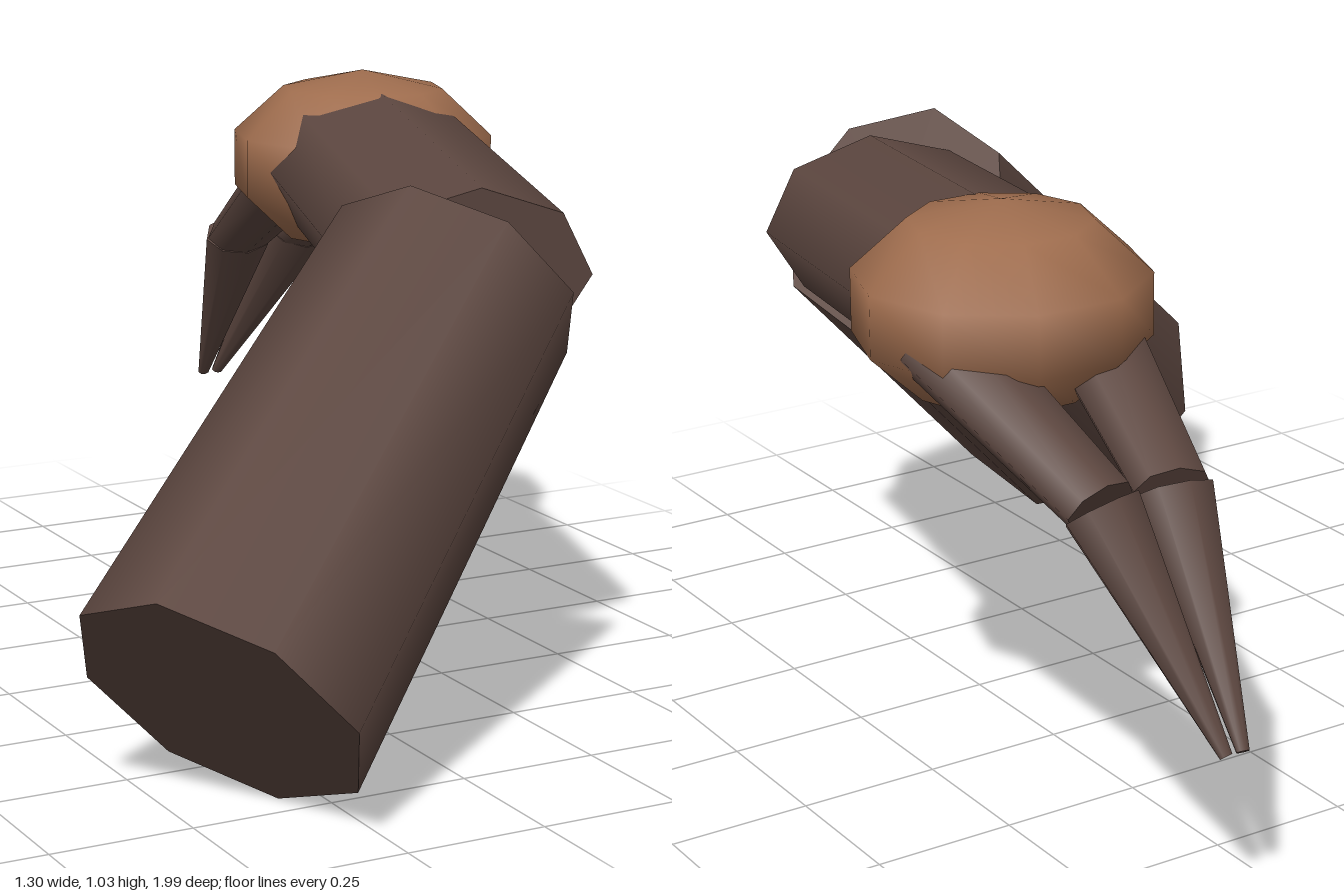
import * as THREE from 'three';

const v = (p) => new THREE.Vector3(...p);

// Tapered eight-sided segment between two points; side is the direction of one
// corner, squash flattens the section at right angles to it.
function segment(name, material, from, to, r0, r1, side = [1, 0, 0], squash = 1) {
  const a = v(from), b = v(to);
  const length = a.distanceTo(b);
  const yAxis = b.clone().sub(a).normalize();
  const xAxis = v(side);
  xAxis.addScaledVector(yAxis, -xAxis.dot(yAxis)).normalize();
  const zAxis = xAxis.clone().cross(yAxis);

  const mesh = new THREE.Mesh(new THREE.CylinderGeometry(r1, r0, length, 8), material);
  mesh.name = name;
  mesh.quaternion.setFromRotationMatrix(new THREE.Matrix4().makeBasis(xAxis, yAxis, zAxis));
  mesh.position.copy(a).add(b).multiplyScalar(0.5);
  mesh.scale.z = squash;
  return mesh;
}

export function createModel() {
  const darkBrown = new THREE.MeshStandardMaterial({ color: 0x5d4740 });
  darkBrown.name = 'dark brown';
  const tan = new THREE.MeshStandardMaterial({ color: 0x9f6d4e });
  tan.name = 'tan brown';

  const model = new THREE.Group();
  model.name = 'clawedLimb';

  // Two arm segments
  model.add(segment('upperArm', darkBrown,
    [-0.462, 0.21, 0.768], [0.165, 0.775, 0.42], 0.262, 0.232, [-0.013, 0.15, 0.217]));
  model.add(segment('forearm', darkBrown,
    [0.197, 0.78, 0.434], [0.39, 0.865, -0.31], 0.212, 0.207, [1, 0, 0], 0.74));

  // Flattened ball of the wrist
  const wrist = new THREE.Mesh(new THREE.SphereGeometry(1, 10, 5), tan);
  wrist.name = 'wristBall';
  wrist.position.set(0.395, 0.86, -0.325);
  wrist.scale.set(0.263, 0.176, 0.263);
  model.add(wrist);

  // Mirrored pair of claws, each with a base and a pointed tip
  for (const s of [1, -1]) {
    const claw = new THREE.Group();
    claw.name = s > 0 ? 'leftClaw' : 'rightClaw';
    claw.add(segment('clawBase', darkBrown,
      [0.405 + s * 0.135, 0.83, -0.38], [0.405 + s * 0.068, 0.652, -0.735],
      0.09, 0.068, [s, 0, 0], 0.67));
    claw.add(segment('clawTip', darkBrown,
      [0.405 + s * 0.068, 0.65, -0.74], [0.393 + s * 0.016, 0.307, -0.988],
      0.072, 0.012, [s, 0, 0], 0.75));
    model.add(claw);
  }
  return model;
}
